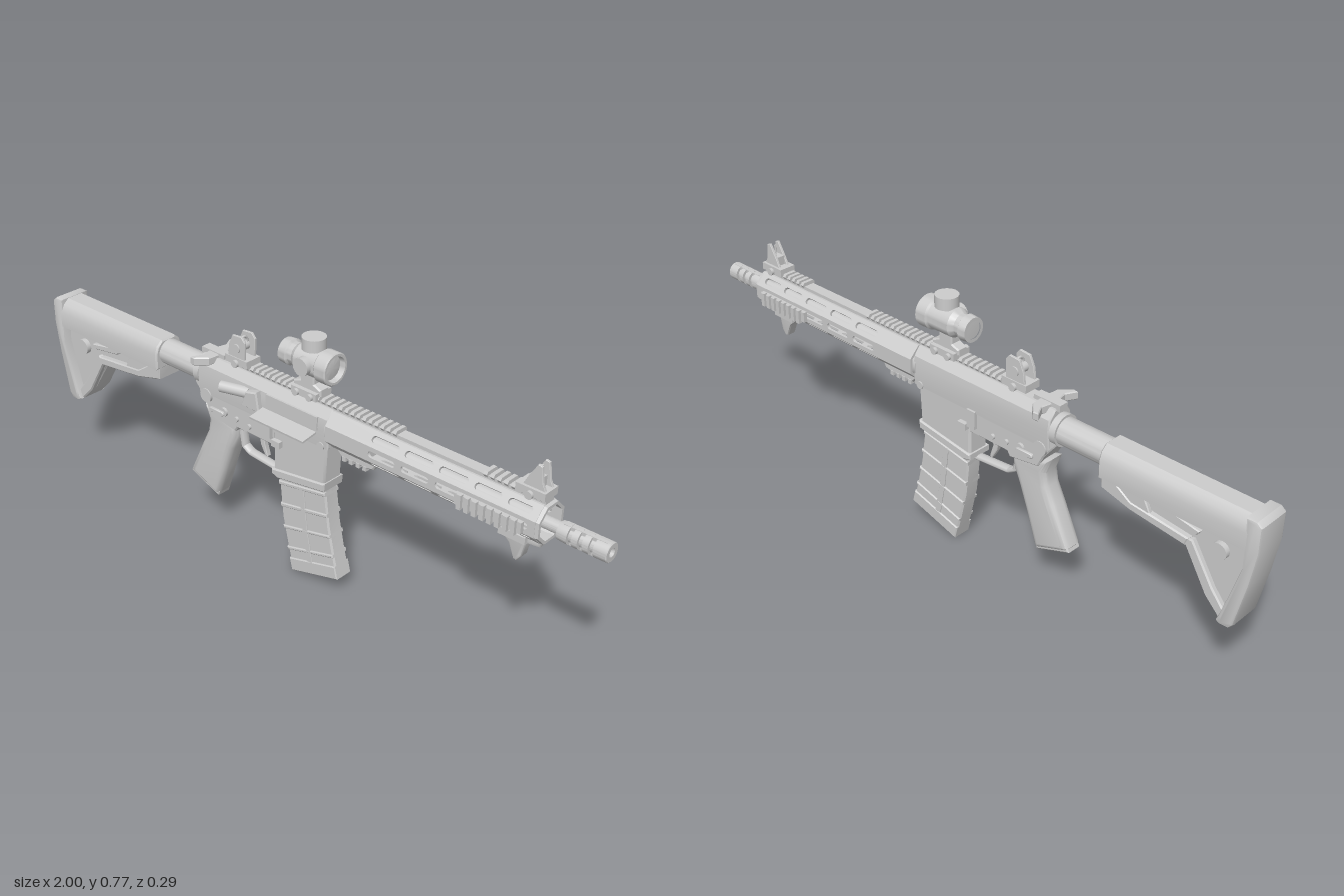
import * as THREE from 'three';
import { toCreasedNormals } from 'three/addons/utils/BufferGeometryUtils.js';

const grey = new THREE.MeshStandardMaterial({ color: 0xcccccc });
const AXIS = 0.525; // bore height

function polygon(points) {
  return new THREE.Shape(points.map(([x, y]) => new THREE.Vector2(x, y)));
}

function pill(cx, cy, length, height, Type = THREE.Shape) {
  const r = height / 2, h = length / 2 - r, s = new Type();
  s.moveTo(cx - h, cy - r);
  s.lineTo(cx + h, cy - r);
  s.absarc(cx + h, cy, r, -Math.PI / 2, Math.PI / 2, false);
  s.lineTo(cx - h, cy + r);
  s.absarc(cx - h, cy, r, Math.PI / 2, Math.PI * 1.5, false);
  return s;
}

// Extrudes a shape without growing its outline
function extrude(shape, depth, bevel = 0.004, segments = 1) {
  const g = new THREE.ExtrudeGeometry(shape, {
    depth: depth - 2 * bevel, bevelEnabled: bevel > 0, bevelThickness: bevel,
    bevelSize: bevel, bevelOffset: -bevel, bevelSegments: segments, curveSegments: 8,
  });
  return g.translate(0, 0, bevel - depth / 2);
}

export function createModel() {
  const model = new THREE.Group();
  const rifle = new THREE.Group();
  rifle.name = 'rifle';
  rifle.rotation.y = -0.092;
  model.add(rifle);

  const add = (name, geo, x = 0, y = 0, z = 0, parent = rifle) => {
    const m = new THREE.Mesh(geo, grey);
    m.name = name;
    m.position.set(x, y, z);
    parent.add(m);
    return m;
  };
  // Side-profile part, centred on z
  const slab = (name, pts, width, bevel, z = 0, segs = 1) =>
    add(name, toCreasedNormals(extrude(Array.isArray(pts) ? polygon(pts) : pts, width, bevel, segs), 0.6), 0, 0, z);
  const box = (name, x, y, z, w, h, d) => add(name, new THREE.BoxGeometry(w, h, d), x, y, z);
  // Cross-section (z, y) swept from x0 to x1
  const sweep = (name, pts, x0, x1, bevel = 0.004) =>
    add(name, toCreasedNormals(extrude(polygon(pts), x1 - x0, bevel).rotateY(Math.PI / 2), 0.5), (x0 + x1) / 2);
  // Turned part along x, profile of [x, radius]
  const turned = (name, pts, y = AXIS, sides = 24) => {
    const g = new THREE.LatheGeometry(pts.map(([x, r]) => new THREE.Vector2(r, x)), sides).rotateZ(-Math.PI / 2);
    return add(name, toCreasedNormals(g, 0.5), 0, y);
  };
  const pin = (name, x, y, z, r, length) =>
    add(name, new THREE.CylinderGeometry(r, r, length, 16).rotateX(Math.PI / 2), x, y, z);

  // Stock: rounded cheek piece, narrower web, butt frame
  sweep('stockTop', [[-0.052, 0.475], [0.052, 0.475], [0.053, 0.525], [0.044, 0.55], [0.026, 0.566],
    [-0.026, 0.566], [-0.044, 0.55], [-0.053, 0.525]], -0.985, -0.52, 0.005);
  slab('stockWeb', [[-0.98, 0.5], [-0.53, 0.5], [-0.53, 0.445], [-0.62, 0.42], [-0.78, 0.40], [-0.86, 0.28],
    [-0.9, 0.24], [-0.95, 0.25]], 0.05);
  slab('stockLowerRail', [[-0.52, 0.5], [-0.525, 0.44], [-0.62, 0.415], [-0.79, 0.395], [-0.8, 0.42], [-0.62, 0.44], [-0.56, 0.48]], 0.085);
  slab('stockToeStrut', [[-0.76, 0.415], [-0.79, 0.395], [-0.86, 0.28], [-0.905, 0.235], [-0.93, 0.25], [-0.88, 0.31], [-0.81, 0.42]], 0.08);
  slab('buttPad', [[-1, 0.555], [-0.985, 0.567], [-0.955, 0.567], [-0.96, 0.42], [-0.915, 0.26], [-0.905, 0.235],
    [-0.918, 0.228], [-0.945, 0.23], [-0.957, 0.245], [-0.985, 0.38], [-1, 0.48]], 0.106, 0.008, 0, 2);
  for (const s of [-1, 1]) {
    pin('stockSlingSocket', -0.885, 0.425, s * 0.025, 0.024, 0.03);
    slab('stockLever', [[-0.82, 0.44], [-0.72, 0.455], [-0.68, 0.475], [-0.7, 0.48], [-0.83, 0.455]], 0.02, 0.003, s * 0.032);
    slab('stockRib', [[-0.68, 0.43], [-0.62, 0.435], [-0.57, 0.47], [-0.66, 0.47]], 0.015, 0.003, s * 0.032);
  }
  turned('bufferTube', [[-0.56, 0], [-0.56, 0.039], [-0.37, 0.039], [-0.37, 0.046], [-0.35, 0.046], [-0.35, 0]], 0.522);

  // Receiver
  sweep('upperReceiver', [[-0.042, 0.47], [0.042, 0.47], [0.046, 0.53], [0.042, 0.56], [0.022, 0.585],
    [-0.022, 0.585], [-0.042, 0.56], [-0.046, 0.53]], -0.35, 0.15);
  slab('lowerReceiver', [[-0.37, 0.55], [-0.37, 0.49], [-0.33, 0.44], [-0.31, 0.4], [-0.21, 0.385], [-0.2, 0.4],
    [-0.06, 0.4], [-0.05, 0.485], [0.14, 0.485], [0.14, 0.5], [-0.32, 0.5], [-0.35, 0.55]], 0.076);
  slab('magazineWell', [[-0.06, 0.485], [0.14, 0.485], [0.132, 0.345], [0.12, 0.33], [-0.04, 0.305], [-0.06, 0.32]], 0.07, 0.006);
  slab('magazineWellLip', [[0.137, 0.355], [0.134, 0.328], [-0.04, 0.3], [-0.065, 0.308], [-0.065, 0.325]], 0.082);
  for (const [x, y, r] of [[-0.32, 0.465, 0.022], [-0.25, 0.435, 0.014], [-0.15, 0.425, 0.008], [-0.2, 0.43, 0.008], [0.125, 0.475, 0.012]])
    pin('receiverPin', x, y, 0, r, 0.092);
  for (const s of [-1, 1]) {
    slab('safetyLever', pill(-0.272, 0.432, 0.06, 0.014), 0.01, 0.002, s * 0.048);
    box('boltCatch', -0.075, 0.45, s * 0.042, 0.03, 0.055, 0.014);
    box('magazineRelease', -0.04, 0.415, s * 0.04, 0.03, 0.02, 0.018);
  }
  box('ejectionPort', 0.02, 0.54, 0.045, 0.19, 0.04, 0.006);
  box('openPortCover', 0.01, 0.506, 0.07, 0.2, 0.006, 0.056).rotation.x = 0.15;
  slab('brassDeflector', [[-0.16, 0.5], [-0.09, 0.5], [-0.1, 0.56], [-0.14, 0.55]], 0.024, 0.004, 0.05);
  const assist = add('forwardAssist', new THREE.CylinderGeometry(0.017, 0.017, 0.09, 16).rotateZ(Math.PI / 2), -0.19, 0.535, 0.052);
  assist.rotation.y = 0.3;

  // Charging handle with swept wings
  box('chargingHandle', -0.315, 0.588, 0, 0.09, 0.02, 0.03);
  for (const s of [-1, 1]) {
    const wing = polygon([[-0.335, 0], [-0.29, 0], [-0.295, 0.05], [-0.325, 0.08], [-0.342, 0.078], [-0.325, 0.045]].map(([x, z]) => [x, s * z]));
    add('chargingHandleWing', extrude(wing, 0.025, 0.003).rotateX(Math.PI / 2), 0, 0.583);
  }

  // Grip
  slab('grip', [[-0.345, 0.43], [-0.21, 0.395], [-0.213, 0.36], [-0.235, 0.31], [-0.265, 0.23], [-0.297, 0.135],
    [-0.305, 0.125], [-0.41, 0.165], [-0.415, 0.175], [-0.36, 0.29], [-0.335, 0.34], [-0.328, 0.38]], 0.066, 0.02, 0, 4);
  slab('gripCap', [[-0.298, 0.136], [-0.304, 0.12], [-0.418, 0.163], [-0.41, 0.182]], 0.05, 0.004);

  // Trigger group
  const guard = new THREE.CurvePath();
  const gp = [[-0.215, 0.39], [-0.205, 0.328], [-0.18, 0.313], [-0.05, 0.302]].map(([x, y]) => new THREE.Vector3(x, y, 0));
  for (let i = 0; i < 3; i++) guard.add(new THREE.LineCurve3(gp[i], gp[i + 1]));
  add('triggerGuard', new THREE.TubeGeometry(guard, 40, 0.008, 8).scale(1, 1, 2));
  slab('trigger', [[-0.145, 0.41], [-0.115, 0.41], [-0.122, 0.37], [-0.11, 0.33], [-0.118, 0.326], [-0.137, 0.36]], 0.016, 0.002);

  // Magazine with bands that follow its curve
  const rear = [[-0.045, 0.4], [-0.048, 0.3], [-0.035, 0.17], [-0.015, 0.08], [0.005, 0]];
  const front = [[0.125, 0.4], [0.127, 0.33], [0.143, 0.21], [0.16, 0.13], [0.18, 0.05]];
  slab('magazine', [...rear, ...[...front].reverse()], 0.053, 0.005);
  const edge = (pts, t) => {
    const i = Math.min(3, Math.floor(t)), f = t - i;
    return [0, 1].map((k) => pts[i][k] * (1 - f) + pts[i + 1][k] * f);
  };
  for (const [t0, t1] of [[1.1, 1.2], [1.65, 1.75], [2.3, 2.42], [3.05, 3.18], [3.5, 4]])
    slab('magazineBand', [edge(rear, t0), edge(rear, t1), edge(front, t1), edge(front, t0)], 0.061, 0.003);
  for (const s of [-1, 1])
    slab('magazineRib', [[0.03, 0.3], [0.05, 0.3], [0.064, 0.17], [0.085, 0.06], [0.065, 0.06], [0.045, 0.17]], 0.005, 0.001, s * 0.0275);

  // Handguard: eight slotted panels around the barrel
  const R = 0.055, side = 2 * R * Math.tan(Math.PI / 8);
  const panel = polygon([[0.15, -side / 2], [0.82, -side / 2], [0.82, side / 2], [0.15, side / 2]]);
  for (const [x, l] of [[0.345, 0.09], [0.455, 0.09], [0.565, 0.09], [0.67, 0.08], [0.765, 0.07]])
    panel.holes.push(pill(x, 0, l, 0.019, THREE.Path));
  const panelGeo = extrude(panel, 0.008, 0).translate(0, 0, R - 0.004);
  for (let i = 0; i < 8; i++) add('handguardPanel', panelGeo, 0, AXIS + 0.003).rotation.x = i * Math.PI / 4;
  turned('barrelNut', [[0.14, 0], [0.14, 0.048], [0.27, 0.048], [0.27, 0]]);
  turned('handguardEndRing', [[0.815, 0.048], [0.815, 0.059], [0.83, 0.057], [0.83, 0.048], [0.815, 0.048]], AXIS + 0.003, 8).rotation.x = Math.PI / 8;
  turned('barrel', [[0.2, 0], [0.2, 0.022], [0.8, 0.022], [0.8, 0.017], [0.88, 0.017], [0.88, 0]]);

  // Muzzle brake with ports
  const brake = [[0.86, 0.012], [0.86, 0.025], [0.885, 0.027]];
  for (let x = 0.89; x < 0.97; x += 0.03) brake.push([x, 0.027], [x, 0.019], [x + 0.013, 0.019], [x + 0.013, 0.027]);
  brake.push([0.998, 0.027], [1, 0.025], [1, 0.012], [0.95, 0.011], [0.95, 0]);
  turned('muzzleBrake', brake, AXIS - 0.003);
  for (const s of [-1, 1]) box('muzzleBrakeWeb', 0.93, AXIS - 0.003 + s * 0.021, 0, 0.12, 0.01, 0.018);

  // Top rail
  box('railBase', 0.305, 0.587, 0, 1.03, 0.012, 0.034);
  const tooth = [[-0.018, 0.588], [0.018, 0.588], [0.023, 0.596], [0.018, 0.604], [-0.018, 0.604], [-0.023, 0.596]];
  for (let x = -0.2; x < 0.81; x += 0.0205)
    if (x < 0.37 || x > 0.62) sweep('railTooth', tooth, x, x + 0.011, 0);

  // Side and lower rail sections
  for (const s of [-1, 1]) {
    box('sideRail', 0.69, AXIS, s * 0.062, 0.2, 0.032, 0.012);
    for (let x = 0.61; x < 0.78; x += 0.023) box('sideRailTooth', x, AXIS, s * 0.071, 0.013, 0.042, 0.012);
  }
  slab('lowerRail', [[0.16, 0.475], [0.3, 0.475], [0.29, 0.456], [0.27, 0.452], [0.18, 0.452]], 0.042);
  for (let x = 0.19; x < 0.28; x += 0.024) box('lowerRailTooth', x, 0.451, 0, 0.012, 0.014, 0.045);

  // Hand stop
  slab('handStop', [[0.68, 0.474], [0.82, 0.474], [0.815, 0.455], [0.775, 0.45], [0.765, 0.405], [0.752, 0.387],
    [0.742, 0.39], [0.725, 0.43], [0.695, 0.455]], 0.034, 0.007, 0, 2);
  box('handStopClamp', 0.74, 0.463, 0, 0.08, 0.02, 0.056);

  // Iron sights
  const sightBase = (x) => {
    box('sightBase', x, 0.606, 0, 0.085, 0.022, 0.054);
    pin('sightScrew', x, 0.6, 0, 0.011, 0.072);
  };
  sightBase(0.78);
  for (const s of [-1, 1])
    slab('frontSightEar', [[0.75, 0.61], [0.82, 0.61], [0.808, 0.635], [0.802, 0.68], [0.79, 0.683], [0.765, 0.64]], 0.008, 0.001, s * 0.015);
  box('frontSightBridge', 0.782, 0.63, 0, 0.035, 0.03, 0.024);
  add('frontSightPost', new THREE.CylinderGeometry(0.003, 0.003, 0.04, 8), 0.79, 0.655);
  sightBase(-0.21);
  for (const s of [-1, 1])
    slab('rearSightEar', [[-0.245, 0.61], [-0.18, 0.61], [-0.178, 0.67], [-0.19, 0.685], [-0.225, 0.682], [-0.24, 0.65]], 0.008, 0.001, s * 0.02);
  pin('rearSightDrum', -0.21, 0.645, 0, 0.014, 0.056);
  add('rearSightAperture', new THREE.TorusGeometry(0.013, 0.004, 8, 20).rotateY(Math.PI / 2), -0.205, 0.662);

  // Optic
  const oy = 0.693;
  turned('opticBody', [[-0.04, 0.026], [-0.04, 0.036], [-0.015, 0.038], [-0.01, 0.032], [0.005, 0.032], [0.02, 0.042],
    [0.095, 0.042], [0.1, 0.047], [0.135, 0.047], [0.138, 0.044], [0.138, 0.037], [0.12, 0.035]], oy, 32);
  turned('opticFrontLens', [[0.121, 0.036], [0.124, 0.02], [0.125, 0]], oy, 32);
  turned('opticRearLens', [[-0.037, 0], [-0.036, 0.027]], oy, 32);
  add('opticTopTurret', new THREE.CylinderGeometry(0.034, 0.034, 0.035, 24), 0.06, 0.748);
  pin('opticSideTurret', 0.06, oy, 0.035, 0.026, 0.04);
  slab('opticMount', [[0.0, 0.603], [0.1, 0.603], [0.1, 0.622], [0.075, 0.632], [0.075, 0.665], [0.025, 0.665], [0.025, 0.632], [0.0, 0.622]], 0.036);
  box('opticClamp', 0.05, 0.602, 0, 0.09, 0.022, 0.062);
  for (const x of [0.025, 0.075]) pin('opticClampScrew', x, 0.6, 0, 0.01, 0.08);

  return model;
}
